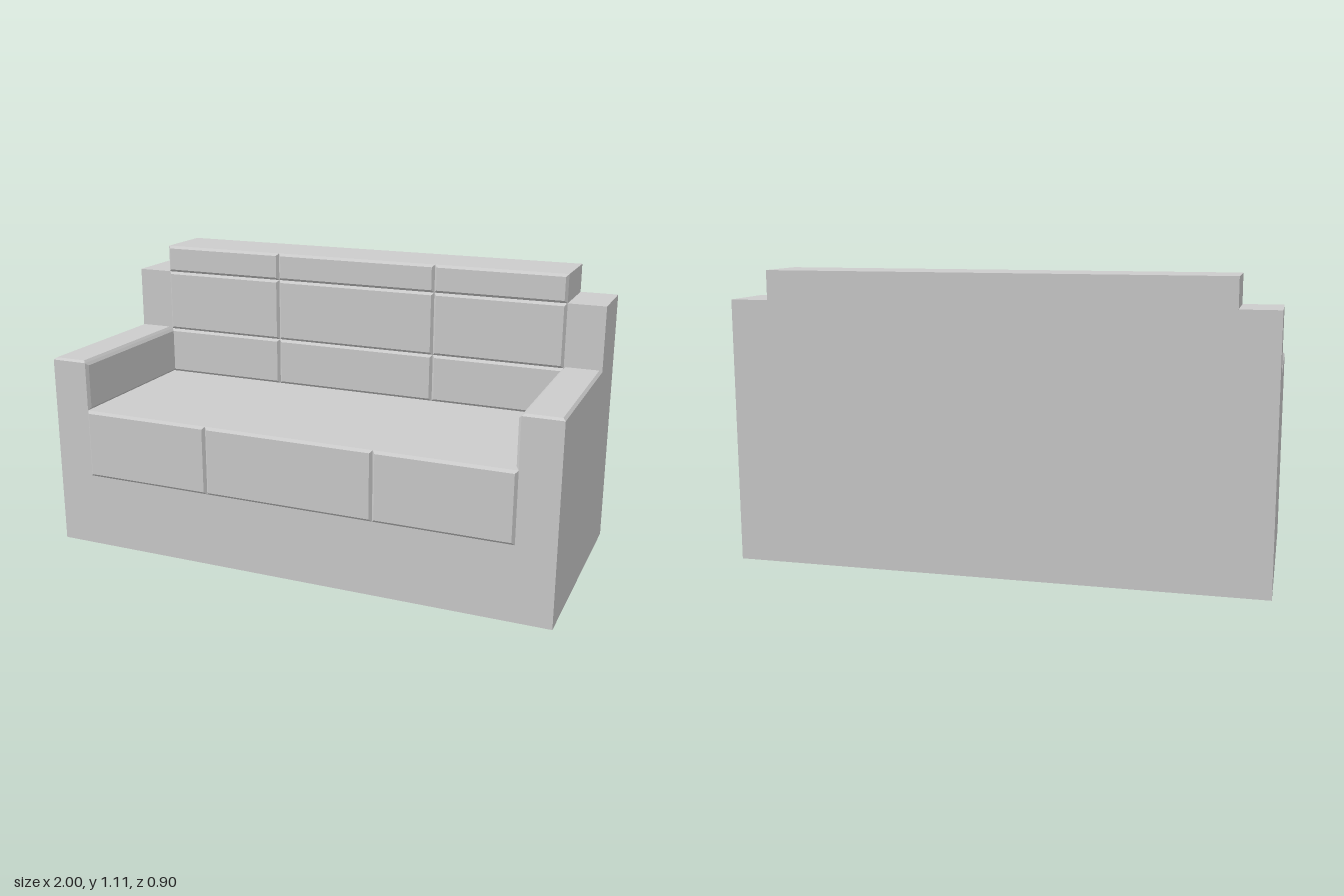
import * as THREE from 'three';

const material = new THREE.MeshStandardMaterial({ color: 0xcccccc, flatShading: true });
const BACK = -0.45, FRONT = 0.44, REST = -0.21; // depth planes
const SEAT = 0.56, ARM = 0.75, SHOULDER = 1.0, TOP = 1.11; // heights
const INNER = 0.855, SEAM = 0.335; // inside of arms, seams between seats

// L-shaped side profile (low part in front, tall part behind) swept from x0 to x1
function section(name, x0, x1, low, high) {
  const shape = new THREE.Shape([
    [-FRONT, 0], [-BACK, 0], [-BACK, high], [-REST, high], [-REST, low], [-FRONT, low],
  ].map(([x, y]) => new THREE.Vector2(x, y)));
  const geometry = new THREE.ExtrudeGeometry(shape, { depth: x1 - x0, bevelEnabled: false });
  geometry.rotateY(Math.PI / 2); // shape x becomes -z, depth becomes x
  geometry.translate(x0, 0, 0);
  const mesh = new THREE.Mesh(geometry, material);
  mesh.name = name;
  return mesh;
}

// Thin padded panel facing +z, its outer face drawn in to form a bevel
function panel(name, w, h, depth = 0.01, inset = 0.01) {
  const geometry = new THREE.BoxGeometry(w, h, depth).translate(0, 0, depth / 2);
  const p = geometry.attributes.position;
  for (let i = 0; i < p.count; i++) {
    if (p.getZ(i) < depth / 2) continue;
    p.setX(i, p.getX(i) - Math.sign(p.getX(i)) * inset);
    p.setY(i, p.getY(i) - Math.sign(p.getY(i)) * inset);
  }
  geometry.computeVertexNormals();
  const mesh = new THREE.Mesh(geometry, material);
  mesh.name = name;
  return mesh;
}

export function createModel() {
  const sofa = new THREE.Group();
  sofa.name = 'sofa';

  // Solid body: centre with seat and tall backrest, plus an arm on each side
  sofa.add(section('seatAndBackrest', -INNER, INNER, SEAT, TOP));
  sofa.add(section('rightArm', -1, -INNER, ARM, SHOULDER));
  sofa.add(section('leftArm', INNER, 1, ARM, SHOULDER));

  // Rows of panels: one below the seat front, three up the backrest
  const columns = [-INNER, -SEAM, SEAM, INNER];
  const rows = [
    ['seatFrontPanel', 0.29, SEAT, FRONT],
    ['lowerBackPanel', SEAT, ARM, REST],
    ['middleBackPanel', ARM, SHOULDER, REST],
    ['headPanel', SHOULDER, TOP, REST],
  ];
  for (const [name, y0, y1, z] of rows) {
    for (let i = 0; i < 3; i++) {
      const mesh = panel(name, columns[i + 1] - columns[i], y1 - y0);
      mesh.position.set((columns[i] + columns[i + 1]) / 2, (y0 + y1) / 2, z);
      sofa.add(mesh);
    }
  }

  // Padding on the top and inner face of each arm
  const length = FRONT - REST, midZ = (FRONT + REST) / 2;
  for (const [side, s] of [['right', -1], ['left', 1]]) {
    const top = panel(side + 'ArmTopPanel', 1 - INNER, length, 0.008);
    top.rotation.x = -Math.PI / 2;
    top.position.set(s * (1 + INNER) / 2, ARM, midZ);
    const inner = panel(side + 'ArmInnerPanel', length, ARM - SEAT);
    inner.rotation.y = -s * Math.PI / 2;
    inner.position.set(s * INNER, (ARM + SEAT) / 2, midZ);
    sofa.add(top, inner);
  }
  return sofa;
}
